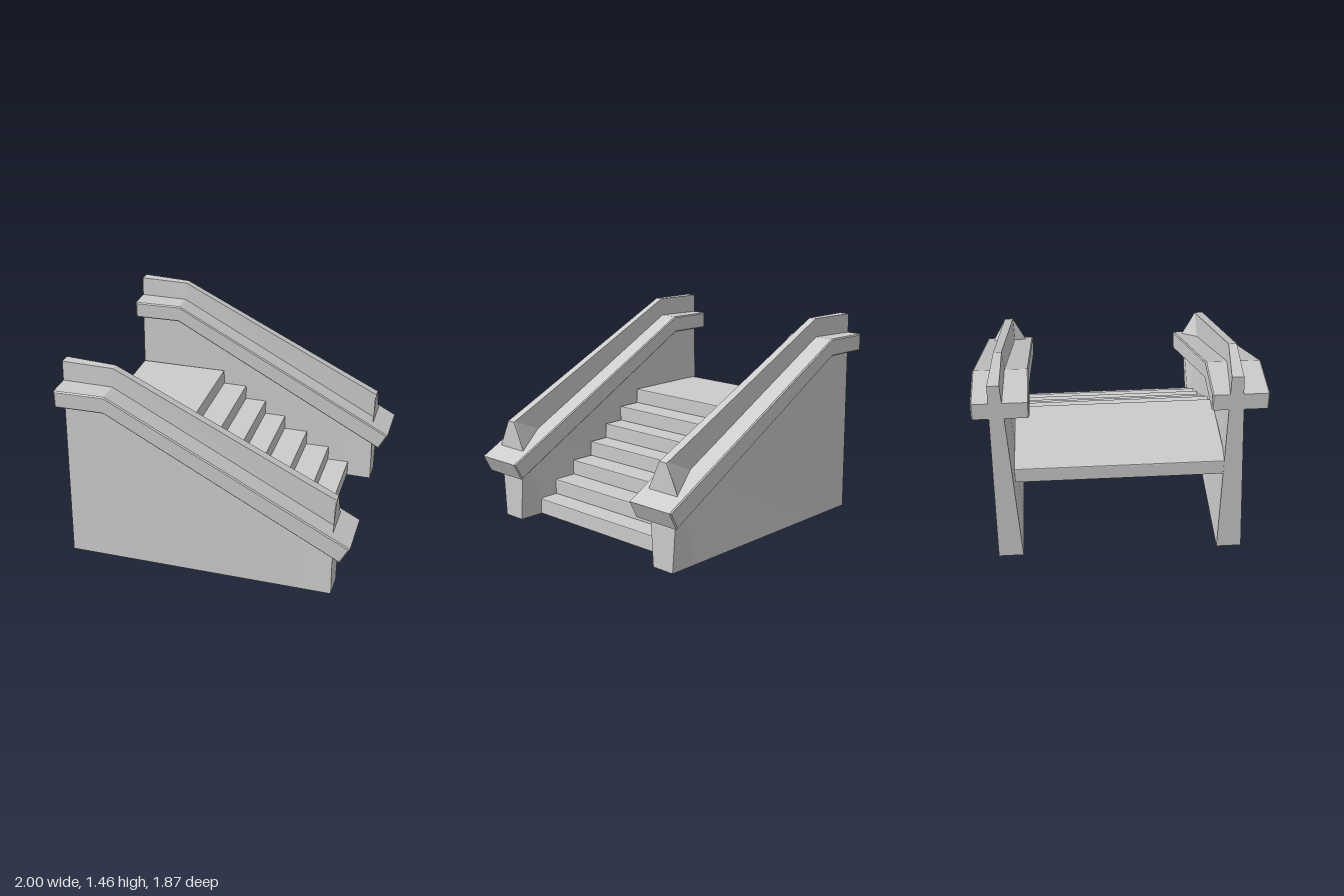
import * as THREE from 'three';
import { RoundedBoxGeometry } from 'three/addons/geometries/RoundedBoxGeometry.js';

const material = new THREE.MeshStandardMaterial({ color: 0xcccccc, flatShading: true });

// Wall cross-sections along x: [x, midY, topY, mid z pair, top z pair]; the foot is constant.
const FOOT = [0.67, 0.84];
const SECTIONS = [
  [-1.0, 1.2, 1.455, [0.68, 0.775], [0.682, 0.758]],
  [-0.64, 1.25, 1.455, [0.71, 0.785], [0.715, 0.768]],
  [0.65, 0.63, 0.826, [0.715, 0.79], [0.72, 0.783]],
  [0.862, 0.53, 0.724, [0.635, 0.79], [0.722, 0.785]],
  [0.872, 0.53, 0.72, [0.63, 0.875], [0.723, 0.785]],
];

function wallGeometry() {
  const rings = SECTIONS.map(([x, my, ty, m, t]) => [
    [x, 0, FOOT[0]], [x, my, m[0]], [x, ty, t[0]],
    [x, ty, t[1]], [x, my, m[1]], [x, 0, FOOT[1]],
  ]);
  const pos = [];
  const tri = (a, b, c) => pos.push(...a, ...b, ...c);
  for (let i = 0; i < rings.length - 1; i++) {
    const r = rings[i], s = rings[i + 1];
    for (let k = 0; k < 6; k++) {
      const n = (k + 1) % 6;
      tri(r[k], r[n], s[n]);
      tri(r[k], s[n], s[k]);
    }
  }
  // End caps
  const first = rings[0], last = rings[rings.length - 1];
  for (let k = 1; k < 5; k++) {
    tri(first[0], first[k + 1], first[k]);
    tri(last[0], last[k], last[k + 1]);
  }
  const g = new THREE.BufferGeometry();
  g.setAttribute('position', new THREE.Float32BufferAttribute(pos, 3));
  g.computeVertexNormals();
  return g;
}

// Bent rail slab with a slim chamfer
function railGeometry() {
  const outline = [[-1, 1.2], [-0.66, 1.203], [0.935, 0.335], [0.998, 0.455], [-0.65, 1.325], [-1, 1.32]];
  const bevel = 0.008;
  const shape = new THREE.Shape(outline.map(([x, y]) => new THREE.Vector2(x, y)));
  const g = new THREE.ExtrudeGeometry(shape, {
    depth: 0.362 - 2 * bevel, bevelEnabled: true, bevelThickness: bevel,
    bevelSize: bevel, bevelOffset: -bevel, bevelSegments: 1,
  });
  return g.translate(0, 0, 0.571 + bevel);
}

export function createModel() {
  const model = new THREE.Group();
  model.name = 'staircase';
  const add = (parent, name, geometry) => {
    const mesh = new THREE.Mesh(geometry, material);
    mesh.name = name;
    parent.add(mesh);
    return mesh;
  };

  // Two identical balustrades, one on each side of the steps
  const wall = wallGeometry(), rail = railGeometry();
  for (const [name, z] of [['frontBalustrade', 0], ['backBalustrade', -1.505]]) {
    const side = new THREE.Group();
    side.name = name;
    side.position.z = z;
    add(side, 'sideWall', wall);
    add(side, 'rail', rail);
    model.add(side);
  }

  // Overlapping step slabs, from the landing down
  const noses = [-0.33, -0.15, 0.01, 0.17, 0.35, 0.53, 0.69];
  noses.forEach((nose, i) => {
    const length = i === 0 ? nose + 0.995 : 0.36;
    const top = 0.775 - i * 0.11;
    const step = add(model, i === 0 ? 'landing' : 'step' + i,
      new RoundedBoxGeometry(length, 0.114, 1.38, 1, 0.007));
    step.position.set(nose - length / 2, top - 0.057, 0);
  });
  return model;
}
